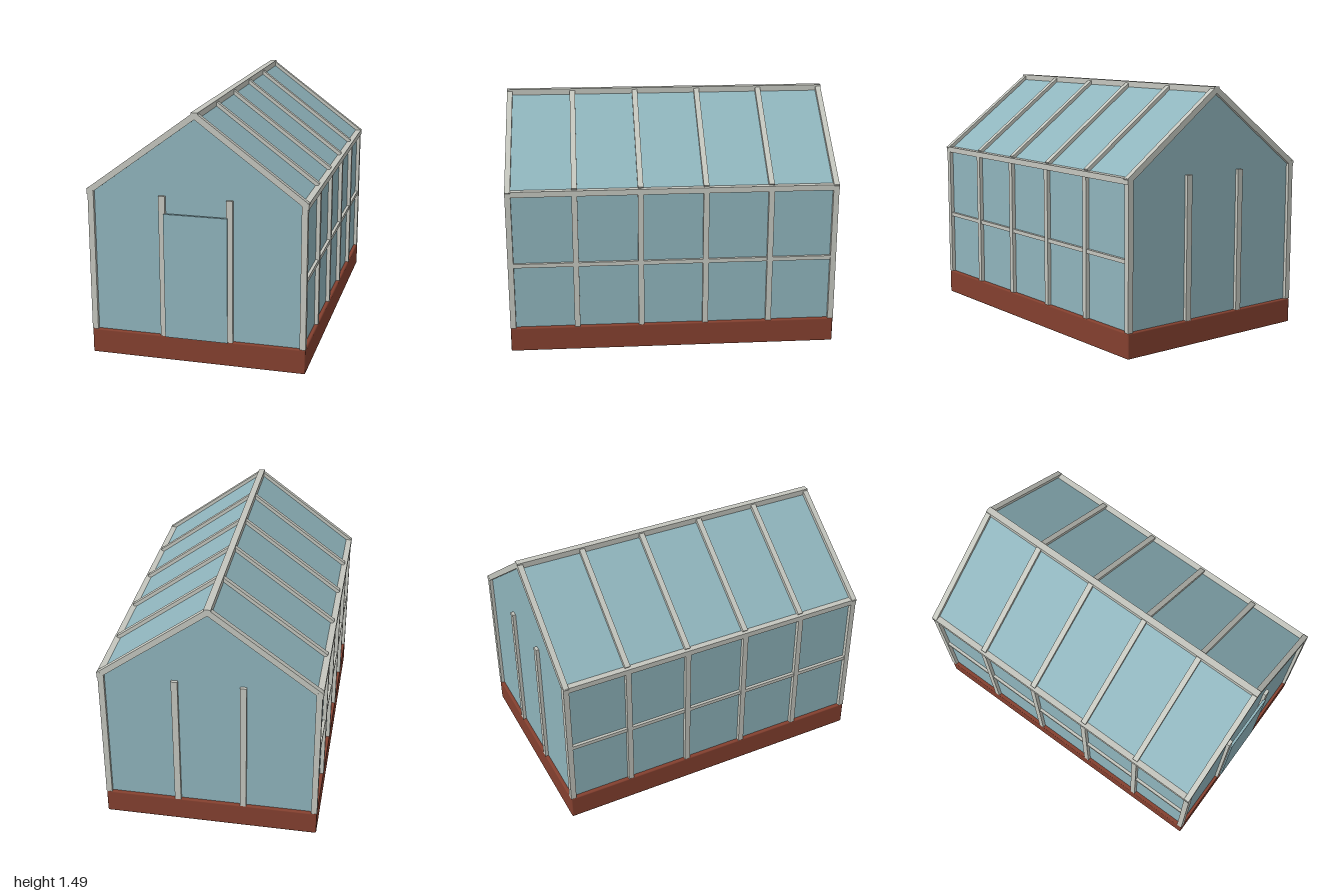
import * as THREE from 'three';
import { RoundedBoxGeometry } from 'three/addons/geometries/RoundedBoxGeometry.js';

export function createModel() {
  const model = new THREE.Group();
  model.name = 'greenhouse';

  const material = (name, color) => {
    const m = new THREE.MeshStandardMaterial({ color });
    m.name = name;
    return m;
  };
  const brick = material('brick red', 0x84402f);
  const frame = material('frame grey', 0xc4c6be);
  const glass = material('glass blue', 0x8fb4bc);

  const add = (name, geometry, mat, x = 0, y = 0, z = 0) => {
    const mesh = new THREE.Mesh(geometry, mat);
    mesh.name = name;
    mesh.position.set(x, y, z);
    model.add(mesh);
    return mesh;
  };
  const box = (name, mat, w, h, d, x, y, z) =>
    add(name, new THREE.BoxGeometry(w, h, d), mat, x, y, z);

  // Chamfered brick base
  add('base', new RoundedBoxGeometry(1.29, 0.15, 1.98, 1, 0.008), brick, 0, 0.075, 0);

  // Glass house body: pentagon section along z
  const section = new THREE.Shape([
    [-0.622, 0.145], [0.622, 0.145], [0.622, 1.008], [0, 1.468], [-0.622, 1.008],
  ].map(([x, y]) => new THREE.Vector2(x, y)));
  const body = new THREE.ExtrudeGeometry(section, { depth: 1.94, bevelEnabled: false });
  add('glassBody', body.translate(0, 0, -0.97), glass);

  // Door panel
  box('door', glass, 0.376, 0.75, 0.016, 0, 0.522, 0.991);

  // Sloping rafter centred on the line y = 1.4715 - 0.737 x
  const slope = 0.737, apex = 1.4715;
  const rafter = (name, side, endX, z) => {
    const length = endX * Math.hypot(1, slope);
    const mesh = box(name, frame, length, 0.035, 0.033,
      side * endX / 2, apex - slope * endX / 2, z);
    mesh.rotation.z = -side * Math.atan(slope);
  };

  for (const side of [-1, 1]) {
    // Side wall posts and roof rafters
    for (let i = 0; i < 6; i++) {
      const end = i === 0 || i === 5;
      const z = end ? (i - 2.5) / 2.5 * 0.973 : (i - 2.5) * 0.39;
      box(end ? 'cornerPost' : 'sidePost', frame, 0.035, 0.85, 0.034, side * 0.6275, 0.575, z);
      rafter(end ? 'gableRafter' : 'roofRafter', side, end ? 0.643 : 0.625, z);
    }
    // Long horizontal rails
    box('eaveBeam', frame, 0.038, 0.034, 1.98, side * 0.631, 0.998, 0);
    box('midRail', frame, 0.026, 0.024, 1.95, side * 0.627, 0.55, 0);
    // Upright posts on both gable ends
    for (const z of [-0.973, 0.973])
      box('gablePost', frame, 0.038, 0.85, 0.034, side * 0.199, 0.573, z);
  }

  // Ridge beam
  box('ridgeBeam', frame, 0.04, 0.035, 1.98, 0, 1.471, 0);

  return model;
}
